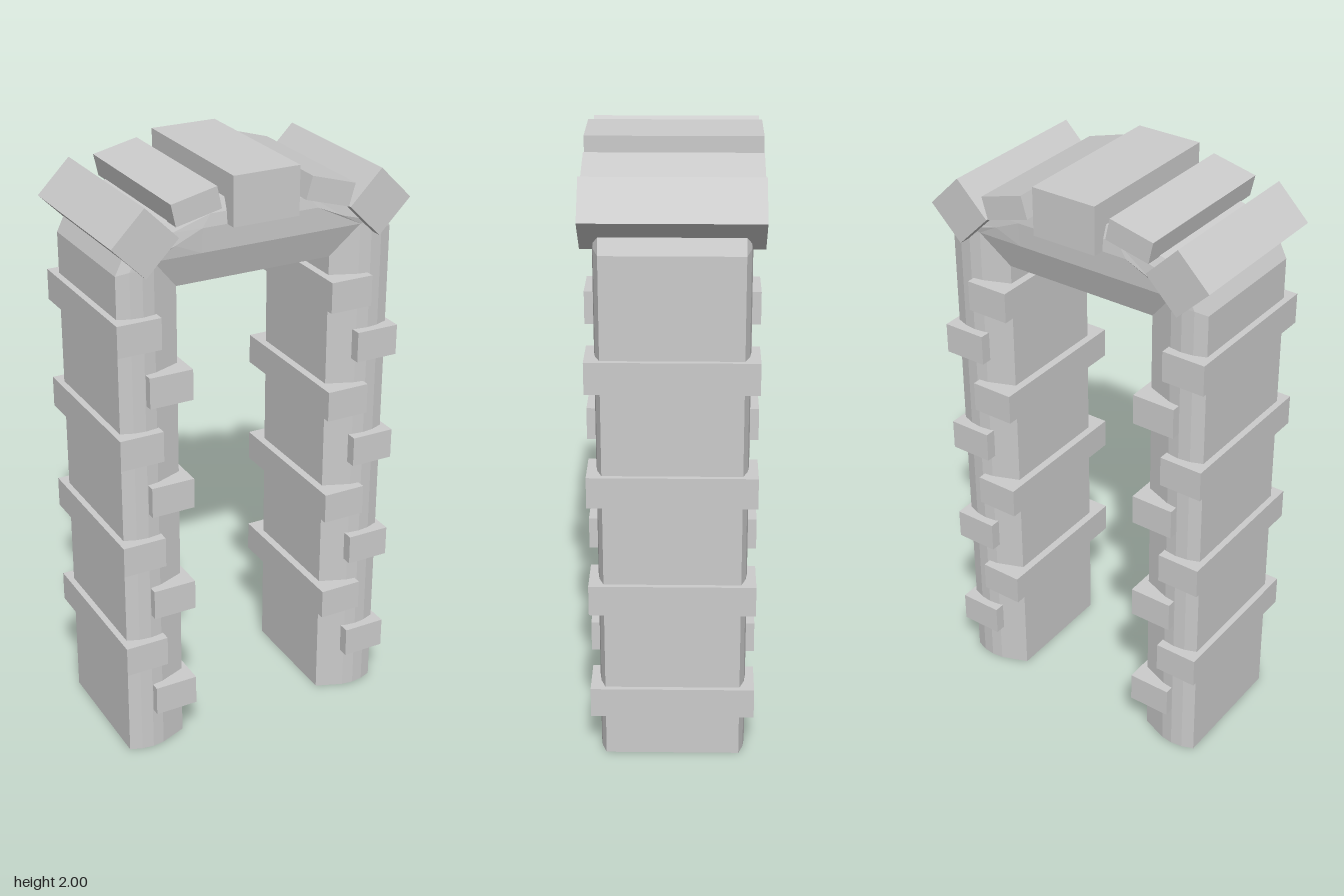
import * as THREE from 'three';

const material = new THREE.MeshStandardMaterial({ color: 0xcccccc, flatShading: true });

// Half-arch rails from the right foot to the crown; z is the half depth of each rail.
const RAILS = [
  { z: 0.22, path: [[0.48, 0], [0.48, 1.73], [0.45, 1.79], [0.33, 1.87], [0.14, 1.92]] },
  { z: 0.235, path: [[0.44, 0], [0.44, 1.74], [0.42, 1.78], [0.3, 1.84], [0.17, 1.88]] },
  { z: 0.24, path: [[0.4, 0], [0.4, 1.74], [0.39, 1.77], [0.29, 1.8], [0.2, 1.84]] },
  { z: 0.235, path: [[0.36, 0], [0.36, 1.76], [0.36, 1.76], [0.36, 1.76], [0.2, 1.76]] },
  { z: 0.2, path: [[0.27, 0], [0.27, 1.655], [0.27, 1.655], [0.27, 1.655], [0.2, 1.655]] },
];

// Skins the bevelled arch through its cross-section rings and caps both feet.
function archGeometry() {
  const half = RAILS[0].path.length, stations = half * 2, n = RAILS.length * 2;
  const positions = [], index = [];
  for (let s = 0; s < stations; s++) {
    const mirror = s < half ? 1 : -1;
    const k = s < half ? s : stations - 1 - s;
    for (let j = 0; j < n; j++) {
      const front = j < RAILS.length;
      const rail = RAILS[front ? j : n - 1 - j];
      const [x, y] = rail.path[k];
      positions.push(x * mirror, y, front ? rail.z : -rail.z);
    }
  }
  for (let s = 0; s < stations - 1; s++) {
    for (let j = 0; j < n; j++) {
      const a = s * n + j, b = s * n + (j + 1) % n;
      index.push(a, a + n, b, b, a + n, b + n);
    }
  }
  const end = (stations - 1) * n;
  for (let j = 1; j < n - 1; j++) {
    index.push(0, j, j + 1, end, end + j + 1, end + j);
  }
  const indexed = new THREE.BufferGeometry();
  indexed.setAttribute('position', new THREE.Float32BufferAttribute(positions, 3));
  indexed.setIndex(index);
  const geometry = indexed.toNonIndexed();
  geometry.computeVertexNormals();
  return geometry;
}

export function createModel() {
  const group = new THREE.Group();

  const add = (name, geometry) => {
    const mesh = new THREE.Mesh(geometry, material);
    mesh.name = name;
    group.add(mesh);
    return mesh;
  };
  const block = (name, w, h, d, x, y, degrees = 0) => {
    const mesh = add(name, new THREE.BoxGeometry(w, h, d));
    mesh.position.set(x, y, 0);
    mesh.rotation.z = THREE.MathUtils.degToRad(degrees);
  };

  add('archFrame', archGeometry());

  // Staggered stones running through both pillars
  for (let i = 0; i < 8; i++) {
    const y = 0.203 + i * 0.191;
    const shift = i % 2 ? -0.052 : 0.052;
    block('leftPillarStone', 0.148, 0.104, 0.536, 0.37 + shift, y);
    block('rightPillarStone', 0.148, 0.104, 0.536, -0.375 + shift, y);
  }

  // Crown stones
  block('keystone', 0.227, 0.16, 0.556, -0.002, 1.92);
  block('rightCrownStone', 0.156, 0.073, 0.556, -0.238, 1.925, 12.5);
  block('leftCrownStone', 0.16, 0.076, 0.556, 0.222, 1.9, -16.5);
  block('rightCornerStone', 0.155, 0.155, 0.556, -0.406, 1.838, 45);
  block('leftCornerStone', 0.155, 0.155, 0.556, 0.404, 1.838, 45);

  return group;
}
